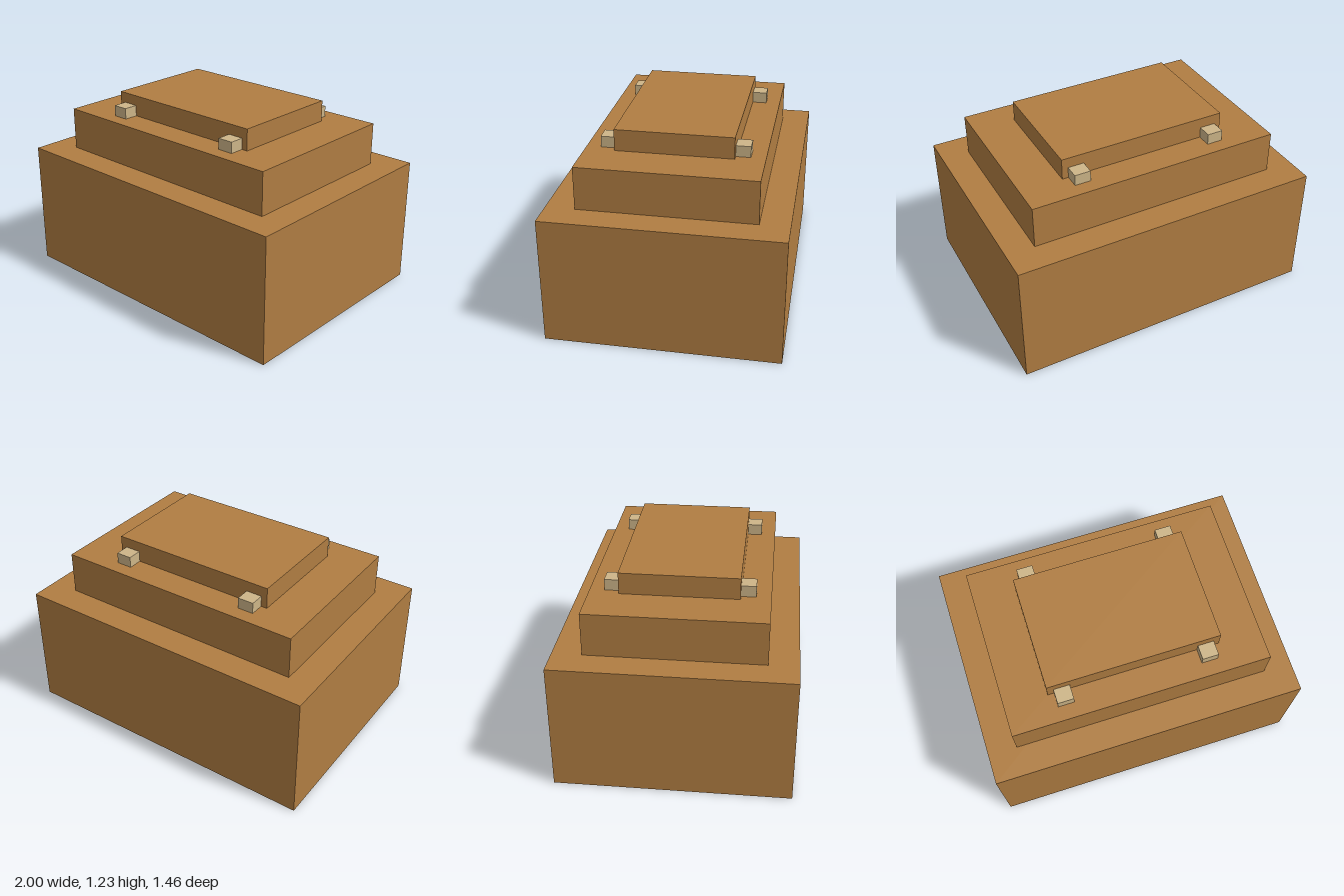
import * as THREE from 'three';

export function createModel() {
  const model = new THREE.Group();
  model.name = 'steppedBlock';

  const wood = new THREE.MeshStandardMaterial({ color: 0xb07d42 });
  wood.name = 'warm brown';
  const pale = new THREE.MeshStandardMaterial({ color: 0xcdb588 });
  pale.name = 'pale tan';

  // Box placed by its bottom height
  function block(name, material, [w, h, d], x, bottom, z) {
    const mesh = new THREE.Mesh(new THREE.BoxGeometry(w, h, d), material);
    mesh.name = name;
    mesh.position.set(x, bottom + h / 2, z);
    model.add(mesh);
  }

  // Three stacked tiers
  block('baseTier', wood, [2, 0.818, 1.455], 0, 0, 0);
  block('middleTier', wood, [1.636, 0.273, 1.091], 0, 0.818, 0);
  block('topTier', wood, [1.091, 0.136, 0.727], 0, 1.091, 0);

  // Four small blocks against the front and back of the top tier
  for (const [sideName, sx] of [['Left', 1], ['Right', -1]]) {
    for (const [endName, sz] of [['front', 1], ['back', -1]]) {
      block(`${endName}${sideName}Peg`, pale, [0.102, 0.07, 0.091], sx * 0.455, 1.091, sz * 0.409);
    }
  }
  return model;
}
